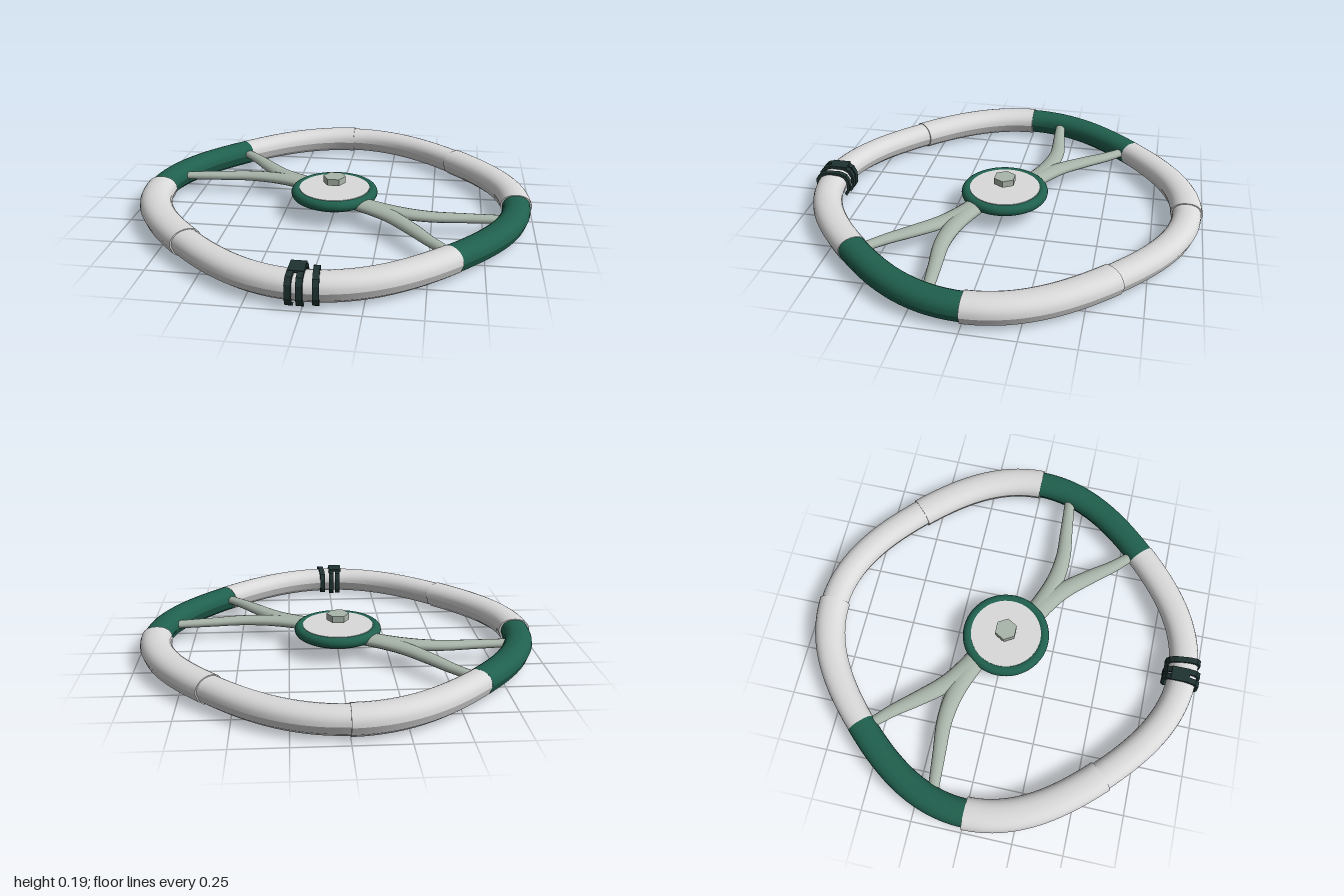
import * as THREE from 'three';
import { toCreasedNormals } from 'three/addons/utils/BufferGeometryUtils.js';

const mat = (name, color) => Object.assign(new THREE.MeshStandardMaterial({ color }), { name });
const UP = new THREE.Vector3(0, 1, 0);
const MID = 0.066; // height of the rim's centre line

// Rim section: round above, faceted below
const rimProfile = [];
for (let i = 0; i <= 12; i++) {
  const a = (i / 12) * Math.PI;
  const c = Math.cos(a);
  rimProfile.push([Math.sign(c) * Math.abs(c) ** 0.9, Math.abs(Math.sin(a)) ** 0.9]);
}
rimProfile.push([-0.8, -0.62], [-0.4, -1], [0.4, -1], [0.8, -0.62]);

// Spoke section: plain ellipse
const ovalProfile = Array.from({ length: 14 }, (_, i) => {
  const a = (i / 14) * Math.PI * 2;
  return [Math.cos(a), Math.sin(a)];
});

// Sweeps a section along a path; size(t) gives half width and half height
function sweep(curve, steps, profile, size, crease) {
  const n = profile.length;
  const pos = [];
  const index = [];
  for (let i = 0; i <= steps; i++) {
    const t = i / steps;
    const c = curve.getPoint(t);
    const side = UP.clone().cross(curve.getTangent(t)).normalize();
    const [w, h] = size(t);
    for (const [px, py] of profile) {
      pos.push(c.x + side.x * w * px, c.y + h * py, c.z + side.z * w * px);
    }
  }
  for (let i = 0; i < steps; i++) {
    for (let j = 0; j < n; j++) {
      const a = i * n + j;
      const b = i * n + ((j + 1) % n);
      index.push(a, b, a + n, b, b + n, a + n);
    }
  }
  const last = steps * n;
  for (let j = 1; j < n - 1; j++) {
    index.push(0, j + 1, j, last, last + j, last + j + 1);
  }
  const geo = new THREE.BufferGeometry();
  geo.setAttribute('position', new THREE.Float32BufferAttribute(pos, 3));
  geo.setIndex(index);
  return toCreasedNormals(geo, crease);
}

// One eighth of the rounded-diamond rim outline
class RimArc extends THREE.Curve {
  constructor(start) {
    super();
    this.start = start;
  }
  getPoint(t) {
    const a = this.start + (t * Math.PI) / 4;
    const r = 0.882 + 0.032 * Math.cos(4 * a);
    return new THREE.Vector3(r * Math.cos(a), MID, r * Math.sin(a));
  }
}

export function createModel() {
  const white = mat('rimWhite', 0xdadada);
  const green = mat('gripGreen', 0x20604e);
  const metal = mat('spokeMetal', 0xa9b5aa);
  const dark = mat('strapDark', 0x1f3331);

  const model = new THREE.Group();
  model.name = 'steeringWheel';
  const add = (name, geo, material, parent = model) => {
    const mesh = new THREE.Mesh(geo, material);
    mesh.name = name;
    parent.add(mesh);
    return mesh;
  };

  // Rim pieces from +x round through +z: half width, half height, colour
  const pieces = [
    [0.069, 0.061, green], [0.073, 0.062, white], [0.072, 0.061, white], [0.08, 0.065, white],
    [0.069, 0.061, green], [0.078, 0.065, white], [0.071, 0.061, white], [0.078, 0.065, white],
  ];
  pieces.forEach(([w, h, material], i) => {
    const arc = new RimArc((i * Math.PI) / 4);
    // the back-left piece flares toward the back joint
    const size = (t) => (i === 5 ? [0.068 + 0.011 * t, 0.061 + 0.004 * t] : [w, h]);
    add(material === green ? 'rimGrip' : 'rimSection', sweep(arc, 16, rimProfile, size, 0.42), material);
  });

  // Forked spokes, one pair on each side
  const branches = [
    { pts: [[0.1, 0.09], [0.2, 0.135], [0.35, 0.183], [0.5, 0.2], [0.66, 0.187], [0.86, 0.17]], w0: 0.058, w1: 0.026 },
    { pts: [[0.1, 0.09], [0.2, 0.15], [0.31, 0.235], [0.42, 0.36], [0.5, 0.46], [0.6, 0.565]], w0: 0.06, w1: 0.026 },
  ];
  for (const turn of [0, Math.PI]) {
    const spoke = new THREE.Group();
    spoke.name = 'forkedSpoke';
    spoke.rotation.y = turn;
    for (const { pts, w0, w1 } of branches) {
      const path = new THREE.CatmullRomCurve3(
        pts.map(([x, z], i) => new THREE.Vector3(x, 0.088 - 0.003 * i, z)));
      const size = (t) => [THREE.MathUtils.lerp(w0, w1, t), THREE.MathUtils.lerp(0.03, 0.02, t)];
      add('spokeBranch', sweep(path, 24, ovalProfile, size, 0.9), metal, spoke);
    }
    model.add(spoke);
  }

  // Hub: plate, ring and floating hex nut
  add('hubPlate', new THREE.CylinderGeometry(0.178, 0.178, 0.063, 48), white).position.y = 0.0935;
  const ring = add('hubRing', new THREE.TorusGeometry(0.193, 0.027, 16, 56), green);
  ring.rotation.x = Math.PI / 2;
  ring.position.y = 0.1;
  const nut = add('hexNut', toCreasedNormals(new THREE.CylinderGeometry(0.057, 0.057, 0.034, 6), 0.3), metal);
  nut.rotation.y = Math.PI / 6;
  nut.position.y = 0.167;

  // Strap bands wrapped round the front of the rim, open underneath
  const bandShape = (w, h, thick) => {
    const arc = (ex) => Array.from({ length: 11 }, (_, i) => {
      const a = -1.15 + (i / 10) * 5.1;
      const p = (v) => Math.sign(v) * Math.abs(v) ** 0.7;
      return new THREE.Vector2((w + ex) * p(Math.cos(a)), (h + ex) * p(Math.sin(a)));
    });
    return new THREE.Shape([...arc(thick), ...arc(0).reverse()]);
  };
  const straps = new THREE.Group();
  straps.name = 'rimStraps';
  [[-0.05, 0.08, 0.066, 0.06], [-0.008, 0.08, 0.066, 0.0], [0.052, 0.075, 0.06, -0.1]].forEach(([x, w, h, tilt]) => {
    const geo = new THREE.ExtrudeGeometry(bandShape(w, h, 0.014), { depth: 0.028, bevelEnabled: false });
    geo.translate(0, 0, -0.014).rotateY(-Math.PI / 2);
    const band = add('strapBand', geo, dark, straps);
    band.position.set(x, MID, 0.907);
    band.rotation.y = -tilt;
  });
  add('strapBridge', new THREE.BoxGeometry(0.07, 0.012, 0.09), dark, straps).position.set(-0.03, 0.14, 0.895);
  model.add(straps);

  return model;
}
